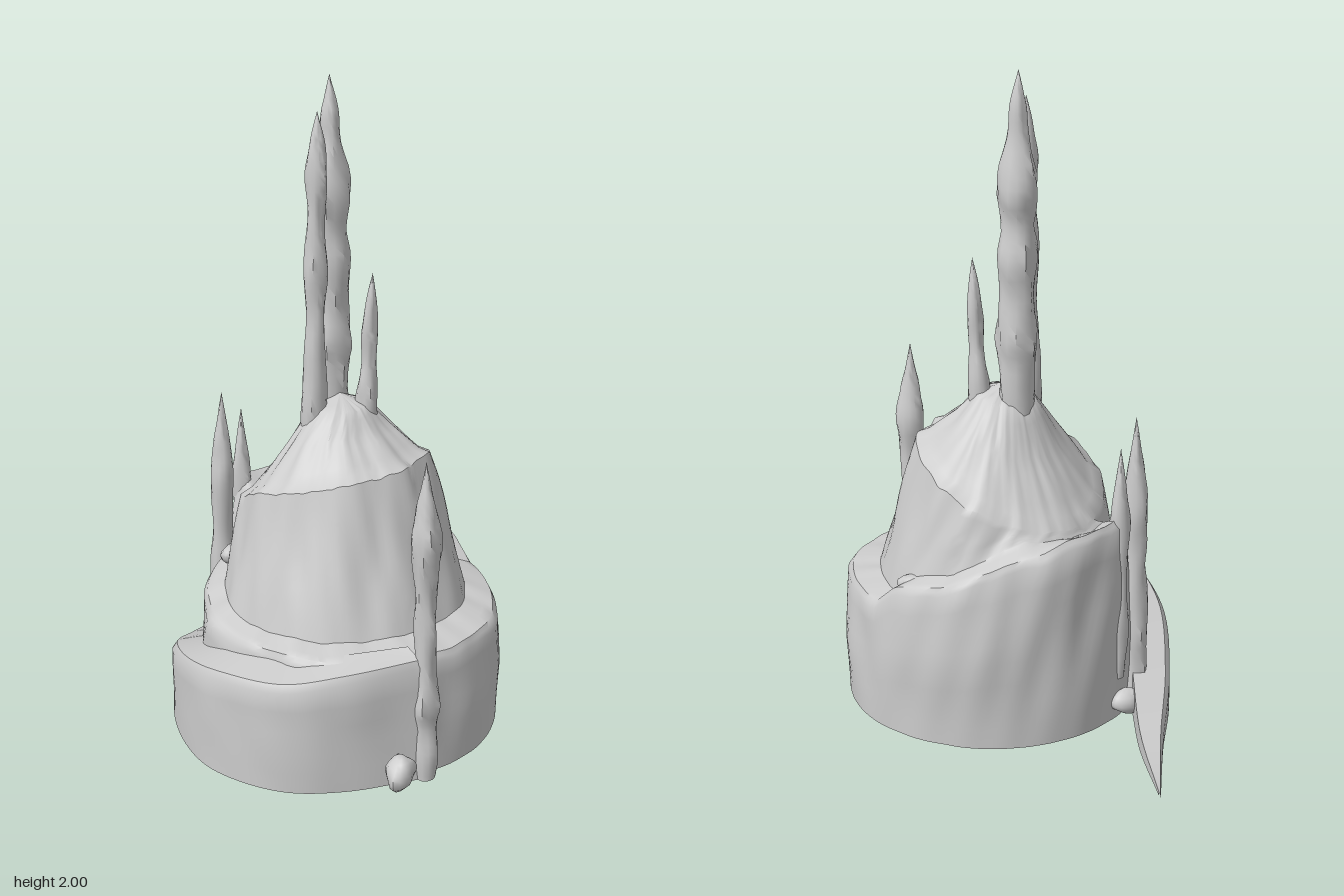
import * as THREE from 'three';
import { toCreasedNormals } from 'three/addons/utils/BufferGeometryUtils.js';

const stone = new THREE.MeshStandardMaterial({ color: 0xcccccc, side: THREE.DoubleSide });
const TAU = Math.PI * 2;

// Smooth repeatable bumpiness
const lump = (x, y, z) =>
  Math.sin(17 * x + 5 * y + 1.3) * Math.sin(13 * y - 6 * z) +
  0.6 * Math.sin(27 * z + 11 * x) * Math.cos(15 * y + 19 * x);

// Piecewise-linear lookup over [key, value] pairs
function lookup(pairs, t) {
  for (let i = 1; i < pairs.length; i++) {
    const [k0, v0] = pairs[i - 1], [k1, v1] = pairs[i];
    if (t <= k1) return v0 + (v1 - v0) * (t - k0) / (k1 - k0);
  }
  return pairs[pairs.length - 1][1];
}

// Grid surface from rows of points
function surface(rows, crease) {
  const n = rows[0].length, index = [];
  for (let i = 0; i < rows.length - 1; i++)
    for (let j = 0; j < n - 1; j++) {
      const a = i * n + j, b = a + 1, c = a + n, d = c + 1;
      index.push(a, b, d, a, d, c);
    }
  const g = new THREE.BufferGeometry();
  g.setAttribute('position', new THREE.Float32BufferAttribute(rows.flat().flatMap(p => p.toArray()), 3));
  g.setIndex(index);
  return toCreasedNormals(g, crease);
}

function add(group, name, geometry) {
  const mesh = new THREE.Mesh(geometry, stone);
  mesh.name = name;
  group.add(mesh);
  return mesh;
}

// Heights by angle in degrees: 0 front, 90 +x, 180 back, 270 -x
const wallTop = [[0, 0.405], [45, 0.41], [78, 0.42], [88, 0.49], [110, 0.53], [135, 0.61],
  [160, 0.67], [191, 0.68], [196, 0.44], [270, 0.40], [360, 0.405]];
const tierTop = [[0, 0.87], [40, 0.87], [90, 0.78], [140, 0.68], [180, 0.655],
  [220, 0.68], [270, 0.79], [320, 0.85], [360, 0.87]];

// Hollow mound: outer wall, spiral shelf, slanted upper tier and cap
function moundGeometry() {
  const wall = a => lookup(wallTop, a), tier = a => lookup(tierTop, a);
  const foot = a => Math.min(wall(a) + 0.02, tier(a) - 0.02);
  const toward = (a, k) => tier(a) + (1.04 - tier(a)) * k;
  // [centre x, centre z, radius x, radius z, height, roughness, steps to reach it]
  const rings = [
    [0.045, 0.15, 0.458, 0.463, () => 0.02, 0.2, 1],
    [0.045, 0.15, 0.463, 0.47, a => wall(a) * 0.5, 0.9, 4],
    [0.045, 0.15, 0.445, 0.465, a => wall(a) - 0.025, 0.9, 4],
    [0.045, 0.15, 0.43, 0.45, wall, 0.4, 2],
    [0.045, 0.13, 0.375, 0.365, foot, 0.6, 3],
    [0.055, 0.10, 0.335, 0.325, a => foot(a) + (tier(a) - foot(a)) * 0.45, 1.2, 4],
    [0.06, 0.06, 0.285, 0.28, tier, 0.9, 5],
    [0.06, 0.06, 0.25, 0.25, a => toward(a, 0.08), 0.7, 1],
    [0.06, 0.07, 0.165, 0.15, a => toward(a, 0.5), 1, 4],
    [0.06, 0.08, 0.09, 0.09, a => toward(a, 0.88), 0.5, 3],
    [0.06, 0.08, 0.001, 0.001, () => 1.045, 0, 3],
  ];
  const rows = [], N = 120;
  rings.forEach((r, i) => {
    const q = rings[Math.max(0, i - 1)];
    for (let s = 1; s <= r[6]; s++) {
      const t = s / r[6], mix = k => q[k] + (r[k] - q[k]) * t;
      rows.push(Array.from({ length: N + 1 }, (_, j) => {
        const deg = (j % N) / N * 360, a = deg * Math.PI / 180;
        const y = q[4](deg) + (r[4](deg) - q[4](deg)) * t;
        const dx = Math.sin(a), dz = Math.cos(a);
        const bump = 1 + 0.022 * mix(5) * lump(dx * 0.6, y * 0.7, dz * 0.6);
        return new THREE.Vector3(mix(0) + mix(2) * bump * dx,
          y + 0.006 * mix(5) * lump(dz, y, dx), mix(1) + mix(3) * bump * dz);
      }));
    }
  });
  return surface(rows, 0.75);
}

// Tapering ramp that curls from the ground tip up to the front
function rampGeometry() {
  // [outer x, outer z, inner x, inner z, height]
  const stations = [
    [0.275, -0.69, 0.265, -0.675, 0.012], [0.05, -0.53, 0.1, -0.48, 0.06], [-0.18, -0.38, -0.08, -0.31, 0.14],
    [-0.38, -0.2, -0.27, -0.13, 0.24], [-0.495, 0.03, -0.39, 0.05, 0.31], [-0.515, 0.2, -0.4, 0.2, 0.345],
    [-0.44, 0.41, -0.33, 0.34, 0.36], [-0.30, 0.53, -0.22, 0.46, 0.39], [-0.09, 0.62, -0.09, 0.56, 0.41],
  ];
  const curve = f => new THREE.CatmullRomCurve3(stations.map(f));
  const outer = curve(s => new THREE.Vector3(s[0], s[4], s[1]));
  const inner = curve(s => new THREE.Vector3(s[2], s[4] * 1.05 + 0.005, s[3]));
  const rows = [], N = 64;
  for (let i = 0; i <= N; i++) {
    const o = outer.getPoint(i / N), n = inner.getPoint(i / N);
    const base = 0.005 + 0.015 * i / N;
    const row = [];
    // outer face, rounded lip, top, inner face
    for (let k = 0; k <= 5; k++) {
      const y = base + Math.max(0, o.y - 0.02 - base) * k / 5;
      const w = 0.02 * Math.sin(k / 5 * Math.PI) * lump(o.x, y, o.z) * (i / N);
      row.push(new THREE.Vector3(o.x, y, o.z).lerp(n, w * 3));
    }
    row.push(o.clone().lerp(n, 0.12), o.clone().lerp(n, 0.55), n, new THREE.Vector3(n.x, base, n.z));
    rows.push(row.reverse());
  }
  return surface(rows, 0.7);
}

// Knobbly spire from [radius, height] profile, leaning by dx, dz at its tip
function spireGeometry(profile, dx, dz, seed) {
  const curve = new THREE.SplineCurve(profile.map(p => new THREE.Vector2(...p)));
  const points = curve.getPoints(36).map(p => new THREE.Vector2(Math.max(p.x, 0.0005), p.y));
  const g = new THREE.LatheGeometry(points, 14), pos = g.attributes.position;
  const y0 = profile[0][1], span = profile[profile.length - 1][1] - y0;
  for (let i = 0; i < pos.count; i++) {
    const x = pos.getX(i), y = pos.getY(i), z = pos.getZ(i), t = (y - y0) / span;
    const k = 1 + 0.1 * lump(x * 6 + seed, y * 1.8, z * 6);
    pos.setXYZ(i, x * k + dx * t, y, z * k + dz * t);
  }
  return toCreasedNormals(g, 0.9);
}

// Rounded irregular boulder
function boulderGeometry(sx, sy, sz, seed) {
  const g = new THREE.SphereGeometry(1, 14, 10), pos = g.attributes.position;
  const v = new THREE.Vector3();
  for (let i = 0; i < pos.count; i++) {
    v.fromBufferAttribute(pos, i);
    v.multiplyScalar(1 + 0.12 * lump(v.x * 0.15 + seed, v.y * 0.15, v.z * 0.15));
    pos.setXYZ(i, v.x * sx, v.y * sy, v.z * sz);
  }
  return toCreasedNormals(g, 0.9);
}

export function createModel() {
  const model = new THREE.Group();
  model.name = 'spiralRockTower';
  add(model, 'mound', moundGeometry());
  add(model, 'ramp', rampGeometry());

  // [name, x, z, lean x, lean z, profile]
  const spires = [
    ['tallSpire', 0.07, 0.03, -0.01, -0.005, [[0.05, 0.92], [0.055, 1.1], [0.063, 1.2], [0.052, 1.32],
      [0.058, 1.45], [0.048, 1.55], [0.06, 1.66], [0.035, 1.8], [0.025, 1.9], [0, 2]]],
    ['secondSpire', -0.025, 0.06, 0.01, 0, [[0.036, 0.92], [0.036, 1.1], [0.028, 1.3], [0.034, 1.45],
      [0.026, 1.6], [0.033, 1.72], [0.02, 1.83], [0, 1.91]]],
    ['smallSpire', 0.11, 0.14, 0, 0.025, [[0.038, 0.94], [0.034, 1.05], [0.022, 1.15], [0.024, 1.25],
      [0.015, 1.35], [0, 1.43]]],
    ['frontSpire', -0.06, 0.61, -0.01, -0.01, [[0.036, 0.02], [0.042, 0.1], [0.034, 0.19], [0.044, 0.26],
      [0.032, 0.38], [0.034, 0.5], [0.03, 0.62], [0.045, 0.76], [0.035, 0.85], [0.018, 0.93], [0, 1.02]]],
    ['backSpire', -0.1, -0.305, 0, 0.01, [[0.038, 0.03], [0.036, 0.2], [0.04, 0.35], [0.03, 0.48],
      [0.034, 0.6], [0.037, 0.72], [0.022, 0.84], [0, 0.975]]],
    ['smallBackSpire', -0.02, -0.30, 0, 0, [[0.02, 0.15], [0.03, 0.3], [0.024, 0.42], [0.026, 0.55],
      [0.031, 0.66], [0.018, 0.78], [0, 0.9]]],
  ];
  spires.forEach(([name, x, z, dx, dz, profile], i) =>
    add(model, name, spireGeometry(profile, dx, dz, i * 1.7)).position.set(x, 0, z));

  // [name, position, half sizes, turn]
  const boulders = [
    ['frontBoulder', [-0.17, 0.08, 0.63], [0.058, 0.05, 0.042], 0.4],
    ['shelfBoulder', [0.415, 0.485, 0.14], [0.028, 0.033, 0.05], 0.3],
    ['backBoulder', [-0.03, 0.07, -0.335], [0.06, 0.04, 0.035], -0.4],
    ['ledgeBoulder', [-0.14, 0.47, -0.2], [0.045, 0.035, 0.035], 0.8],
  ];
  boulders.forEach(([name, p, s, turn], i) => {
    const rock = add(model, name, boulderGeometry(...s, i * 0.9));
    rock.position.set(...p);
    rock.rotation.y = turn * TAU / 6;
  });
  return model;
}
